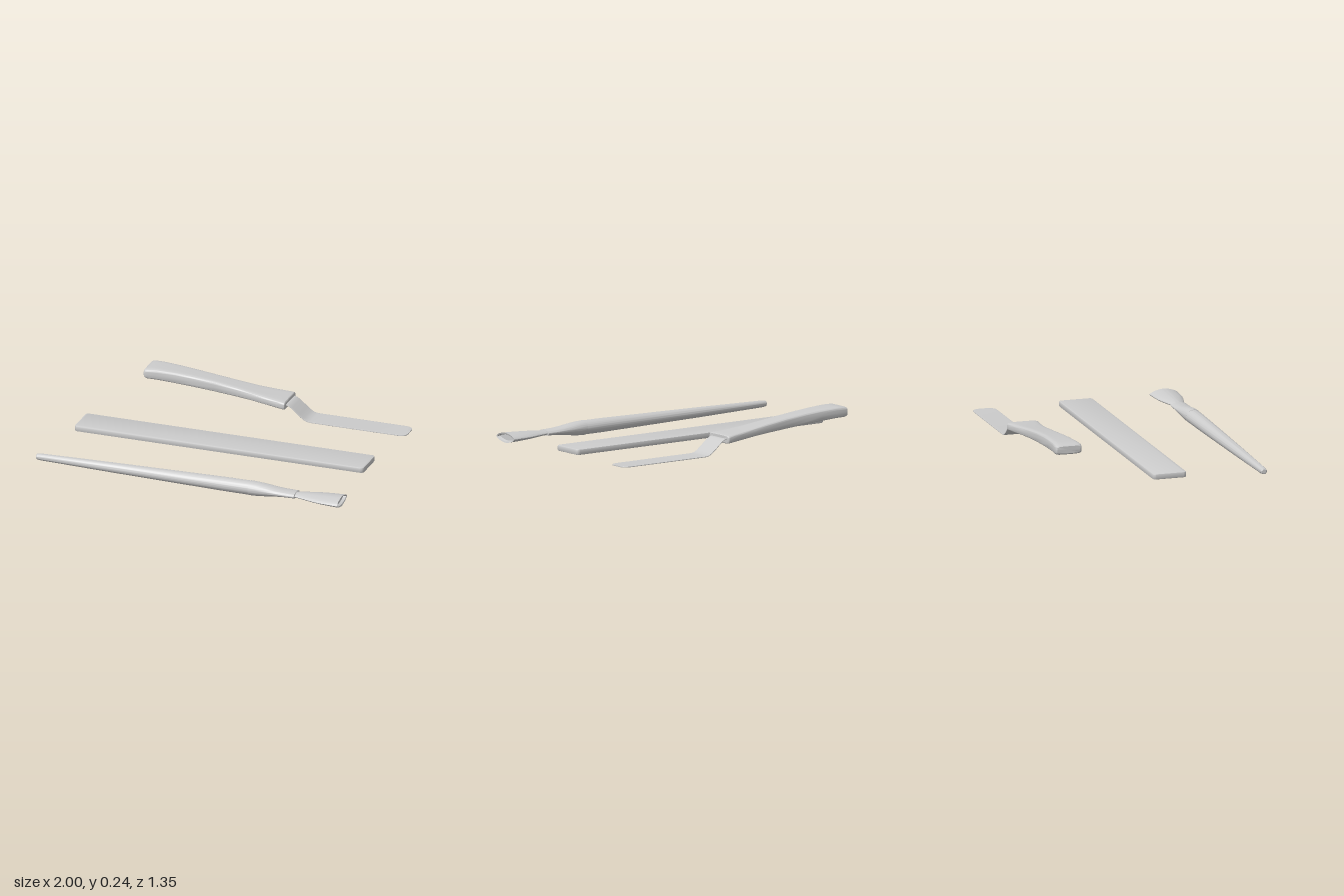
import * as THREE from 'three';
import { toCreasedNormals } from 'three/addons/utils/BufferGeometryUtils.js';

const material = new THREE.MeshStandardMaterial({ color: 0xcccccc, side: THREE.DoubleSide });

// Lofts superellipse sections [x, y centre, half height, half depth, exponent] along x.
function loft(sections, crease = 0.6, sides = 48) {
  const pos = [], index = [];
  sections.forEach(([x, y, ry, rz, n]) => {
    for (let i = 0; i < sides; i++) {
      const t = (i / sides) * Math.PI * 2;
      const s = Math.sin(t), c = Math.cos(t);
      pos.push(x, y + ry * Math.sign(s) * Math.abs(s) ** (2 / n), rz * Math.sign(c) * Math.abs(c) ** (2 / n));
    }
  });
  for (let k = 0; k < sections.length - 1; k++) {
    for (let i = 0; i < sides; i++) {
      const j = (i + 1) % sides;
      const a = k * sides + i, d = k * sides + j, b = a + sides, c = d + sides;
      if (sections[k + 1][2] > 0) index.push(a, b, c);
      if (sections[k][2] > 0) index.push(a, c, d);
      else continue;
      if (sections[k + 1][2] === 0) index.splice(-3, 3, a, b, d);
    }
  }
  const g = new THREE.BufferGeometry();
  g.setAttribute('position', new THREE.Float32BufferAttribute(pos, 3));
  g.setIndex(index);
  return toCreasedNormals(g, crease);
}

function part(name, geometry, parent) {
  const mesh = new THREE.Mesh(geometry, material);
  mesh.name = name;
  parent.add(mesh);
  return mesh;
}

function tool(name, z, parent) {
  const g = new THREE.Group();
  g.name = name;
  g.position.z = z;
  parent.add(g);
  return g;
}

export function createModel() {
  const model = new THREE.Group();
  model.name = 'toolSet';

  // Flat brush: tapered round handle, flattened ferrule, fanned bristles
  const brush = tool('brush', 0.58, model);
  const y = 0.046;
  part('brushHandle', loft([
    [-1, y, 0, 0, 2], [-1, y, 0.012, 0.013, 2], [-0.995, y, 0.018, 0.019, 2], [-0.97, y, 0.021, 0.022, 2],
    [-0.5, y, 0.031, 0.033, 2], [0, y, 0.039, 0.044, 2], [0.25, y, 0.043, 0.048, 2], [0.4, y, 0.043, 0.05, 2],
    [0.41, y, 0, 0, 2],
  ]), brush);
  part('ferrule', loft([
    [0.39, y, 0, 0, 2], [0.39, y, 0.045, 0.05, 2], [0.44, y, 0.043, 0.051, 2], [0.5, y, 0.036, 0.051, 2],
    [0.56, y, 0.027, 0.051, 2], [0.61, y, 0.021, 0.051, 2], [0.69, y, 0.018, 0.051, 2], [0.695, y, 0, 0, 2],
  ]), brush);
  part('bristles', loft([
    [0.68, y, 0, 0, 1.6], [0.68, y, 0.016, 0.04, 1.6], [0.7, y, 0.016, 0.041, 1.6], [0.76, y, 0.02, 0.057, 1.6],
    [0.82, y, 0.024, 0.073, 1.6], [0.86, y, 0.026, 0.081, 1.6], [0.92, y, 0.029, 0.086, 1.6],
    [0.985, y, 0.031, 0.09, 1.6], [0.982, y, 0.023, 0.08, 1.6], [0.965, y, 0.018, 0.074, 1.6], [0.965, y, 0, 0, 1.6],
  ]), brush);

  // Flat strip with rounded corners and eased edges
  const strip = tool('strip', 0, model);
  const hx = 0.934, hz = 0.102, r = 0.015;
  const outline = new THREE.Shape();
  outline.absarc(hx - r, hz - r, r, 0, Math.PI / 2);
  outline.absarc(-hx + r, hz - r, r, Math.PI / 2, Math.PI);
  outline.absarc(-hx + r, -hz + r, r, Math.PI, Math.PI * 1.5);
  outline.absarc(hx - r, -hz + r, r, Math.PI * 1.5, Math.PI * 2);
  const plank = new THREE.ExtrudeGeometry(outline, {
    depth: 0.023, bevelThickness: 0.006, bevelSize: 0.006, bevelSegments: 2, curveSegments: 5,
  });
  plank.rotateX(-Math.PI / 2);
  plank.translate(0.009, 0.037, 0);
  part('flatStrip', toCreasedNormals(plank, 0.6), strip);

  // Palette knife: waisted handle and a thin cranked blade
  const knife = tool('paletteKnife', -0.575, model);
  part('knifeHandle', loft([
    [-0.703, 0.203, 0, 0, 5], [-0.703, 0.203, 0.022, 0.075, 5], [-0.697, 0.203, 0.029, 0.083, 5],
    [-0.68, 0.203, 0.034, 0.085, 5], [-0.62, 0.203, 0.036, 0.08, 5], [-0.5, 0.196, 0.037, 0.073, 5],
    [-0.4, 0.188, 0.037, 0.067, 5], [-0.25, 0.174, 0.035, 0.063, 5], [-0.1, 0.159, 0.031, 0.067, 5],
    [0, 0.148, 0.028, 0.074, 5], [0.1, 0.138, 0.027, 0.086, 5], [0.17, 0.132, 0.027, 0.096, 5],
    [0.205, 0.129, 0.027, 0.101, 5], [0.217, 0.128, 0.026, 0.1, 5], [0.221, 0.128, 0.021, 0.095, 5],
    [0.221, 0.128, 0, 0, 5],
  ]), knife);
  part('knifeBlade', loft([
    [0.2, 0.13, 0, 0, 12], [0.2, 0.13, 0.003, 0.076, 12], [0.225, 0.13, 0.003, 0.076, 12],
    [0.24, 0.126, 0.003, 0.076, 12], [0.26, 0.113, 0.003, 0.076, 12], [0.31, 0.071, 0.004, 0.076, 12],
    [0.335, 0.052, 0.004, 0.076, 12], [0.355, 0.042, 0.003, 0.076, 12], [0.38, 0.038, 0.003, 0.076, 12],
    [0.95, 0.038, 0.003, 0.075, 12], [0.975, 0.038, 0.003, 0.07, 12], [0.99, 0.038, 0.003, 0.06, 12],
    [0.997, 0.038, 0.003, 0.048, 12], [1, 0.038, 0.003, 0.034, 12], [1, 0.038, 0, 0, 12],
  ]), knife);

  return model;
}
